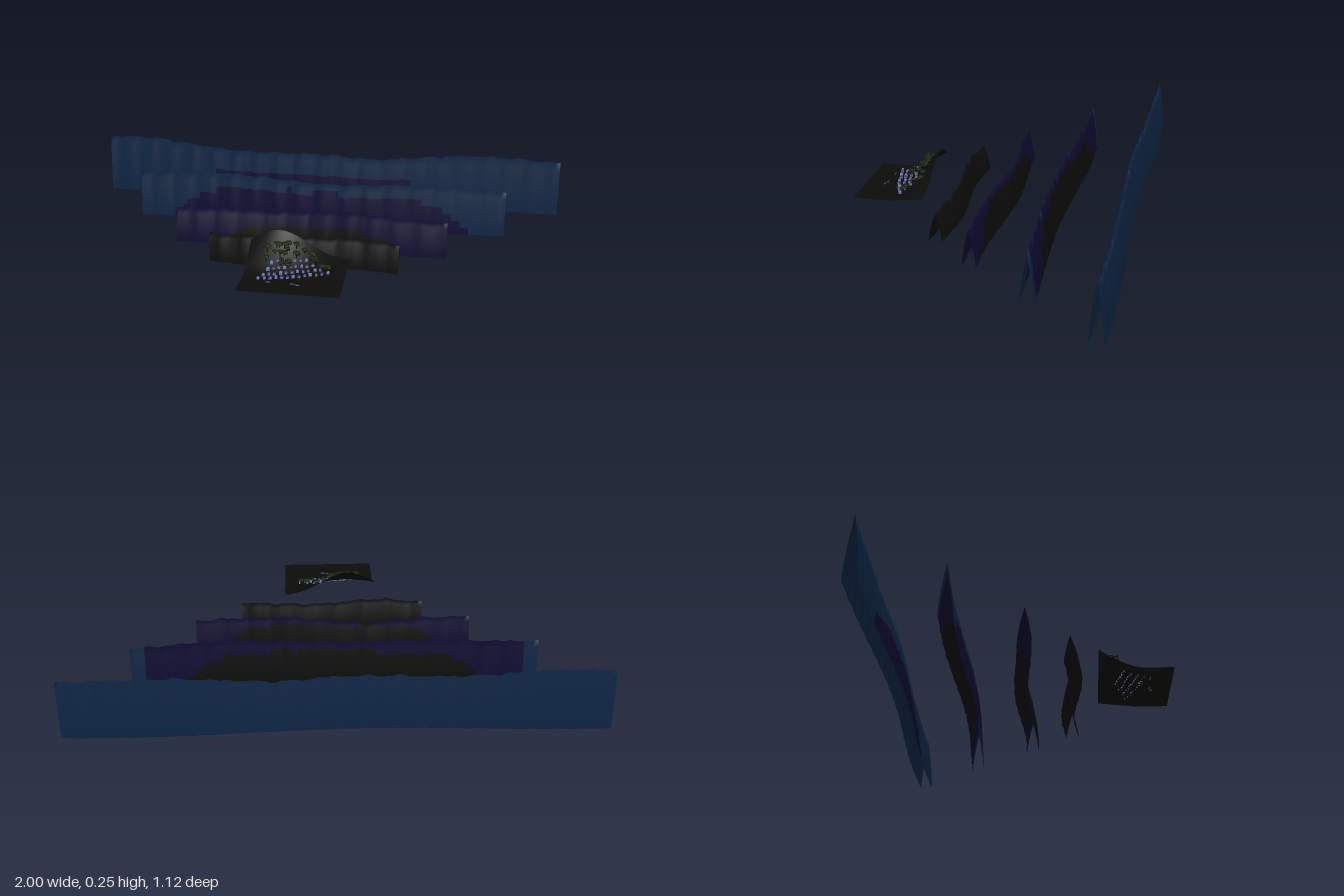
import * as THREE from 'three';

const mat = (name, color) =>
  Object.assign(new THREE.MeshStandardMaterial({ color, side: THREE.DoubleSide }), { name });

export function createModel() {
  const blue = mat('night blue', 0x0d2340);
  const purple = mat('deep indigo', 0x0d0a2e);
  const black = mat('dark earth', 0x0c0c0b);
  const green = mat('pine green', 0x18240b);
  const lilac = mat('moonlit wall', 0x7076b4);
  const slate = mat('dusk roof', 0x35395c);
  const model = new THREE.Group();
  model.name = 'mountainVillage';

  let seed = 7;
  const rand = () => (seed = (seed * 16807) % 2147483647) / 2147483647;
  const add = (parent, name, geo, material, x = 0, y = 0, z = 0) => {
    const m = new THREE.Mesh(geo, material);
    m.name = name;
    m.position.set(x, y, z);
    parent.add(m);
    return m;
  };

  // A ridge is a tent-shaped sheet following a wavy centre line; paint picks a material per face
  function ridge(name, half, centre, heights, paint) {
    const nx = Math.round(half * 110), ny = 7, rows = 2 * ny + 1;
    const crest = new THREE.SplineCurve(heights.map((h, i) => new THREE.Vector2(i, h)));
    const pos = [], lists = [[], [], []];
    for (let i = 0; i <= nx; i++) {
      const x = half * (2 * i / nx - 1);
      const h = crest.getPoint(i / nx).y + 0.003 * Math.sin(x * 47) + 0.002 * Math.sin(x * 101);
      const jitter = 0.003 * Math.sin(x * 63 + half * 9) + 0.002 * Math.sin(x * 131);
      for (let j = 0; j < rows; j++) {
        const s = (ny - j) / ny;
        const t = 1 - Math.abs(s);
        const w = 0.026 * Math.sign(s) * (1 - Math.pow(t, 1.5));
        pos.push(x, h * t, centre(x) + w + jitter * (0.4 + 0.6 * t));
      }
    }
    for (let i = 0; i < nx; i++) for (let j = 0; j < rows - 1; j++) {
      const a = i * rows + j, b = a + rows;
      const x = half * (2 * (i + 0.5) / nx - 1);
      const y = (pos[a * 3 + 1] + pos[a * 3 + 4]) / 2;
      lists[paint(x, y, j < ny)].push(a, b, b + 1, a, b + 1, a + 1);
    }
    const geo = new THREE.BufferGeometry();
    geo.setAttribute('position', new THREE.Float32BufferAttribute(pos, 3));
    geo.setIndex(lists.flat());
    let start = 0;
    lists.forEach((l, k) => {
      if (l.length) geo.addGroup(start, l.length, k);
      start += l.length;
    });
    geo.computeVertexNormals();
    add(model, name, geo, [blue, purple, black]);
  }
  const { PI, cos, sin, abs } = Math;
  // Rounded patch test for the dark areas on the slopes
  const patch = (x, y, w, h) => abs(x) < w && y < h * (1 - (abs(x) / w) ** 6) + 0.004 * sin(x * 40);

  ridge('farRidge', 1, x => -0.518 + 0.014 * cos(PI * (x + 0.1) / 0.85),
    [0.245, 0.247, 0.228, 0.214, 0.217, 0.218, 0.206, 0.222, 0.238, 0.237, 0.23],
    (x, y, front) => front && patch(x + 0.06, y, 0.66, 0.12) ? 1 : 0);
  ridge('thirdRidge', 0.773, x => -0.246 + 0.013 * cos(PI * (x - 0.15) / 0.7),
    [0.186, 0.194, 0.2, 0.193, 0.184, 0.19, 0.2, 0.197, 0.185],
    (x, y, front) => front ? (patch(x, y, 0.63, 0.145) ? 1 : 0)
      : abs(x) > 0.71 ? 0 : patch(x, y, 0.6, 0.15) ? 2 : 1);
  ridge('secondRidge', 0.547, x => -0.013 - 0.014 * cos(PI * (x + 0.08) / 0.5),
    [0.138, 0.142, 0.134, 0.145, 0.155, 0.148, 0.14],
    (x, y, front) => patch(x, y, front ? 0.36 : 0.44, front ? 0.08 : 0.125) ? 2 : 1);
  ridge('nearRidge', 0.373, x => 0.167 - 0.014 * sin(PI * (x + 0.02) / 0.34),
    [0.108, 0.115, 0.11, 0.116, 0.112], () => 2);

  // Hillside: a flat shore that climbs towards the back, highest on one side
  const ground = (x, z) => {
    const up = Math.max(0, (0.44 - z) / 0.16);
    return 0.066 + 0.108 * up ** 1.6 * Math.exp(-(((x + 0.07) / 0.15) ** 2)) + 0.012 * up;
  };
  const land = new THREE.PlaneGeometry(0.376, 0.284, 30, 24).rotateX(-PI / 2).translate(0.006, 0, 0.42);
  const p = land.attributes.position;
  for (let i = 0; i < p.count; i++) p.setY(i, ground(p.getX(i), p.getZ(i)));
  land.computeVertexNormals();
  add(model, 'hillside', land, black);

  // Houses in curved terraces above the shore
  const village = new THREE.Group();
  village.name = 'village';
  model.add(village);
  const wall = new THREE.BoxGeometry(1, 1, 1);
  const roof = new THREE.CylinderGeometry(0.15, 0.75, 1, 4).rotateY(PI / 4);
  for (let row = 0; row < 4; row++) {
    const n = 13 - row * 2;
    for (let i = 0; i < n; i++) {
      const x = -0.12 + row * 0.012 + i * 0.0205 + rand() * 0.004;
      const z = 0.458 - row * 0.024 - 0.25 * (x + 0.12) - 0.5 * x * x + rand() * 0.006;
      const w = 0.008 + rand() * 0.004, h = 0.006 + rand() * 0.004, y = ground(x, z);
      add(village, 'houseWall', wall, lilac, x, y + h / 2, z).scale.set(w, h, w);
      add(village, 'houseRoof', roof, i % 3 ? slate : lilac, x, y + h + 0.002, z).scale.set(w, 0.004, w);
    }
  }

  // Small boats by the shore
  const hull = new THREE.SphereGeometry(1, 8, 6);
  for (const [x, z] of [[0.01, 0.478], [0.03, 0.485], [-0.08, 0.475]]) {
    add(model, 'boat', hull, slate, x, 0.065, z).scale.set(0.012, 0.004, 0.005);
  }

  // Umbrella-shaped trees on the upper slope
  const trunk = new THREE.CylinderGeometry(0.0012, 0.002, 1, 5);
  const crown = new THREE.IcosahedronGeometry(1, 1);
  for (let i = 0; i < 26; i++) {
    const x = i < 20 ? -0.135 + rand() * 0.14 : 0.01 + rand() * 0.12;
    const z = 0.315 + rand() * 0.075;
    const y = ground(x, z), h = 0.014 + rand() * 0.014, r = 0.008 + rand() * 0.007;
    const tree = new THREE.Group();
    tree.name = 'tree';
    tree.position.set(x, y, z);
    model.add(tree);
    add(tree, 'trunk', trunk, black, 0, h / 2, 0).scale.y = h;
    add(tree, 'crown', crown, green, 0, h, 0).scale.set(r, r * 0.4, r);
    add(tree, 'lowerCrown', crown, i % 2 ? green : black, r * 0.5, h * 0.75, r * 0.4)
      .scale.set(r * 0.7, r * 0.3, r * 0.7);
  }
  return model;
}
